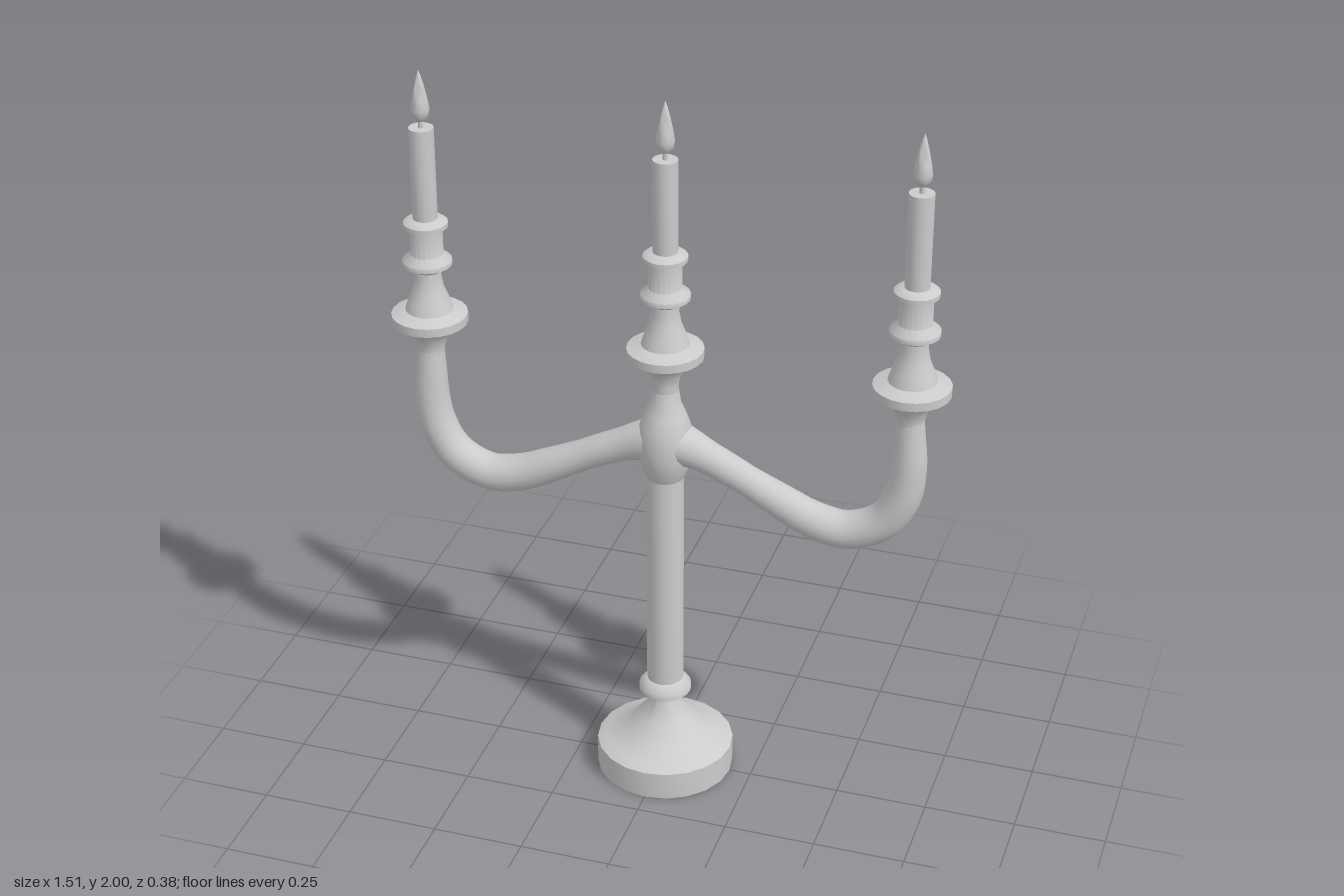
import * as THREE from 'three';
import { toCreasedNormals } from 'three/addons/utils/BufferGeometryUtils.js';

const material = new THREE.MeshStandardMaterial({ color: 0xcccccc });
const ARM_X = 0.655;

function makeMesh(name, geometry) {
  const mesh = new THREE.Mesh(geometry, material);
  mesh.name = name;
  return mesh;
}

// Turned part from [radius, height] pairs, listed bottom to top
function turned(name, profile, sides = 20, crease = 0.9) {
  const points = profile.map(([r, y]) => new THREE.Vector2(r, y));
  return makeMesh(name, toCreasedNormals(new THREE.LatheGeometry(points, sides), crease));
}

// Drip pan, socket, candle, wick and flame, shared by all three lights
function createLight(name, x) {
  const light = new THREE.Group();
  light.name = name;
  light.position.x = x;
  light.add(
    turned('dripPan', [
      [0, 1.17], [0.036, 1.18], [0.036, 1.21], [0.043, 1.24], [0.062, 1.268],
      [0.102, 1.288], [0.102, 1.312], [0.064, 1.325], [0.056, 1.35],
      [0.042, 1.385], [0.036, 1.42], [0.036, 1.442], [0, 1.442],
    ]),
    turned('socket', [
      [0, 1.435], [0.036, 1.438], [0.066, 1.456], [0.066, 1.469], [0.044, 1.487],
      [0.044, 1.558], [0.059, 1.565], [0.059, 1.577], [0.044, 1.588], [0, 1.588],
    ]),
    turned('candle', [[0, 1.57], [0.033, 1.57], [0.033, 1.842], [0, 1.842]], 16),
    turned('wick', [[0, 1.83], [0.007, 1.83], [0.007, 1.875], [0, 1.875]], 8),
    turned('flame', [
      [0, 1.857], [0.012, 1.862], [0.022, 1.876], [0.025, 1.892], [0.021, 1.918],
      [0.013, 1.955], [0.006, 1.982], [0, 2],
    ], 12, 1.2),
  );
  return light;
}

// Curved arm: a tube whose rings are scaled so its thickness varies along the way
function createArm(name, side) {
  const path = new THREE.CatmullRomCurve3([
    [0, 1.045], [0.09, 1.015], [0.18, 0.975], [0.31, 0.91], [0.41, 0.865], [0.5, 0.852],
    [0.595, 0.897], [0.644, 0.98], [0.658, 1.07], [0.657, 1.14], [ARM_X, 1.22],
  ].map(([x, y]) => new THREE.Vector3(side * x, y, 0)));
  const rings = 36, sides = 16;
  const geometry = new THREE.TubeGeometry(path, rings, 1, sides);
  const position = geometry.attributes.position;
  const vertex = new THREE.Vector3();
  const radii = [0.065, 0.045, 0.042, 0.048, 0.052, 0.051, 0.05, 0.045, 0.035];
  for (let i = 0; i < position.count; i++) {
    const t = Math.floor(i / (sides + 1)) / rings;
    const at = t * (radii.length - 1);
    const k = Math.min(Math.floor(at), radii.length - 2);
    const radius = THREE.MathUtils.lerp(radii[k], radii[k + 1], at - k);
    const centre = path.getPointAt(t);
    vertex.fromBufferAttribute(position, i).sub(centre).multiplyScalar(radius).add(centre);
    position.setXYZ(i, vertex.x, vertex.y, vertex.z);
  }
  return makeMesh(name, toCreasedNormals(geometry, 1));
}

export function createModel() {
  const model = new THREE.Group();
  model.name = 'candelabra';

  model.add(
    // Weighted foot, narrowing to a waist
    turned('foot', [
      [0, 0], [0.189, 0], [0.189, 0.08], [0.165, 0.093], [0.112, 0.117],
      [0.075, 0.163], [0.036, 0.212], [0.036, 0.228], [0, 0.228],
    ]),
    turned('stemCollar', [
      [0, 0.22], [0.036, 0.222], [0.072, 0.246], [0.072, 0.262], [0.051, 0.284], [0, 0.284],
    ]),
    turned('stem', [[0, 0.27], [0.05, 0.27], [0.05, 0.94], [0, 0.94]]),
    // Swelling where the arms meet the stem
    turned('hub', [
      [0, 0.925], [0.05, 0.927], [0.062, 0.955], [0.072, 0.995], [0.073, 1.04],
      [0.068, 1.085], [0.054, 1.122], [0.042, 1.15], [0.036, 1.19], [0, 1.19],
    ]),
    createLight('centreLight', 0),
  );

  for (const [name, side] of [['left', 1], ['right', -1]]) {
    model.add(createArm(name + 'Arm', side), createLight(name + 'Light', side * ARM_X));
  }
  return model;
}
